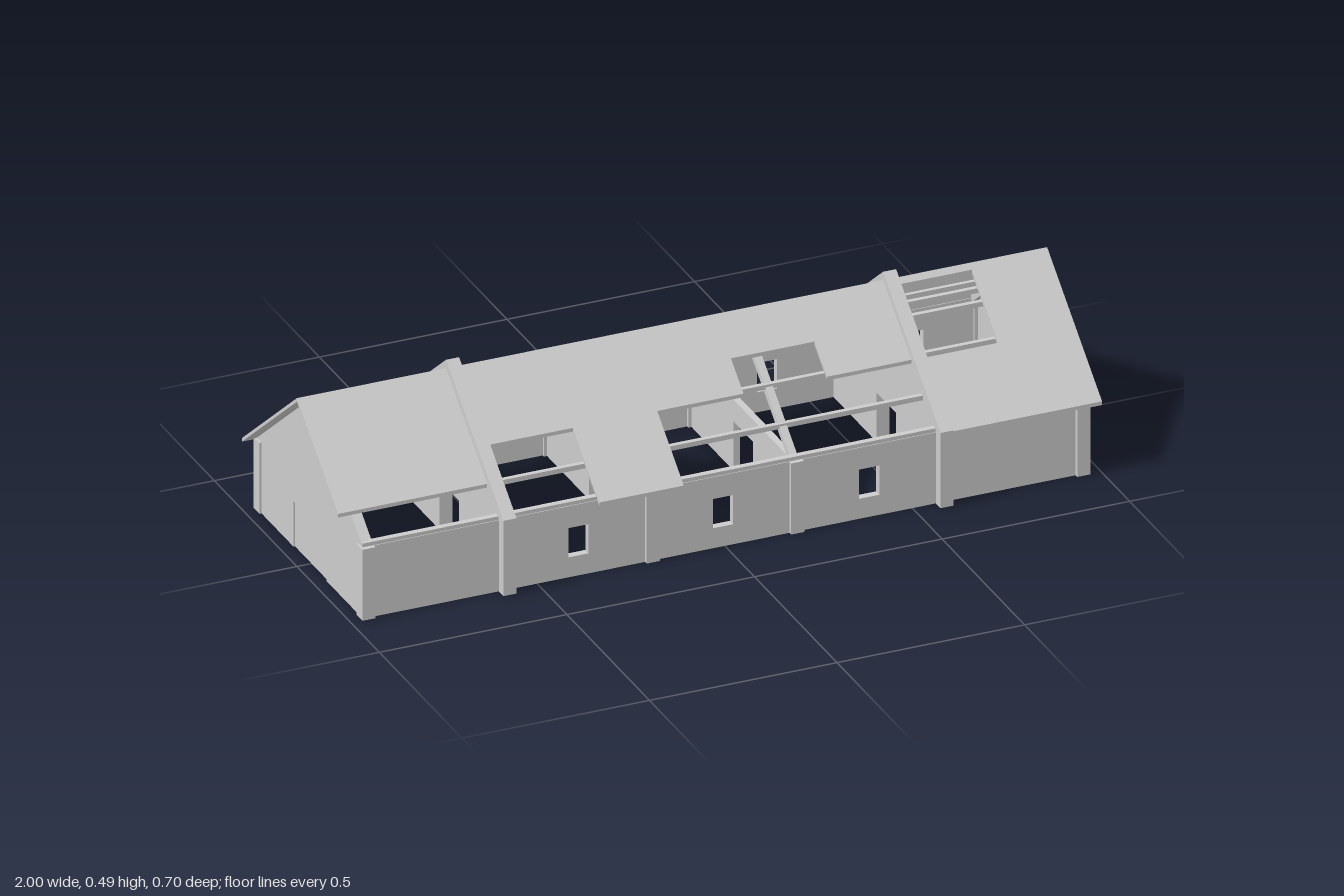
import * as THREE from 'three';

const RIDGE = 0.462, SLOPE = 0.8, ROOF_T = 0.01, WALL_H = 0.195;
const mat = new THREE.MeshStandardMaterial({ color: 0xcccccc, flatShading: true });

function polygon(points) {
  return new THREE.Shape(points.map(([a, b]) => new THREE.Vector2(a, b)));
}
function rect(a0, a1, b0, b1) {
  return [[a0, b0], [a1, b0], [a1, b1], [a0, b1]];
}
function extrude(outline, holes, depth) {
  const shape = polygon(outline);
  holes.forEach((h) => shape.holes.push(polygon(h)));
  return new THREE.ExtrudeGeometry(shape, { depth, bevelEnabled: false });
}

export function createModel() {
  const root = new THREE.Group();
  const add = (name, geometry, parent = root) => {
    const mesh = new THREE.Mesh(geometry, mat);
    mesh.name = name;
    parent.add(mesh);
    return mesh;
  };
  const box = (name, x0, x1, y0, y1, z0, z1) => {
    const g = new THREE.BoxGeometry(x1 - x0, y1 - y0, z1 - z0);
    add(name, g.translate((x0 + x1) / 2, (y0 + y1) / 2, (z0 + z1) / 2));
  };
  // Profile given as [z, y], extruded along x and centred on the given x
  const crossSlab = (name, x, thickness, outline, holes = []) => {
    const g = extrude(outline, holes, thickness);
    add(name, g.rotateY(-Math.PI / 2).translate(x + thickness / 2, 0, 0));
  };

  // Long walls with window openings
  const windowAt = (x) => rect(x - 0.027, x + 0.027, 0.055, 0.135);
  const longWall = (name, z, xs) =>
    add(name, extrude(rect(-0.965, 0.965, 0, WALL_H), xs.map(windowAt), 0.02).translate(0, 0, z - 0.01));
  longWall('frontWall', 0.31, [-0.39, -0.005, 0.385]);
  longWall('backWall', -0.31, [-0.775, -0.39, -0.005, 0.385, 0.775]);

  // Gable ends: a doorway on the left, a wide closed door on the right
  const gable = (half, apex, door) => {
    const eave = apex - half * SLOPE;
    const [a, b, h] = door;
    return [[-half, 0], [a, 0], [a, h], [b, h], [b, 0], [half, 0], [half, eave], [0, apex], [-half, eave]];
  };
  const underRoof = RIDGE - ROOF_T;
  crossSlab('leftGable', 0.955, 0.02, gable(0.315, underRoof, [0.16, 0.23, 0.135]));
  crossSlab('rightGable', -0.955, 0.02, gable(0.315, underRoof, [-0.1, 0.1, 0.125]));
  box('wideDoor', -0.961, -0.949, 0, 0.125, -0.1, 0.1);

  // Tall fire walls that rise through the roof
  for (const x of [-0.585, 0.58]) {
    crossSlab('fireWall', x, 0.035, gable(0.348, 0.485, [-0.04, 0.08, 0.135]));
  }
  // Low partitions between the middle bays
  for (const x of [-0.195, 0.19]) {
    crossSlab('partition', x, 0.018,
      [[-0.31, 0], [-0.04, 0], [-0.04, 0.135], [0.08, 0.135], [0.08, 0], [0.31, 0], [0.31, WALL_H], [-0.31, WALL_H]]);
  }

  // Buttresses, wall plates, purlins and rafters on both sides
  for (const s of [-1, 1]) {
    const zBox = (name, x0, x1, y0, y1, z, d) =>
      box(name, x0, x1, y0, y1, s * z - d / 2, s * z + d / 2);
    for (const x of [-0.953, -0.585, -0.195, 0.19, 0.58, 0.953]) {
      zBox('buttress', x - 0.0175, x + 0.0175, 0, WALL_H, 0.3115, 0.037);
    }
    zBox('wallPlate', -0.965, 0.965, WALL_H, WALL_H + 0.01, 0.31, 0.016);
    for (const z of [0.07, 0.15, 0.235]) {
      const y = underRoof - z * SLOPE;
      const start = z > 0.2 && s > 0 ? -0.585 : -0.95;
      zBox('purlin', start, 0.95, y - 0.018, y - 0.005, z, 0.013);
    }
    for (const x of [-0.945, -0.195, 0.19, 0.94]) {
      const top = underRoof - 0.006, low = top - 0.31 * SLOPE;
      const profile = [[0, top], [0, top - 0.022], [s * 0.31, low - 0.022], [s * 0.31, low]];
      crossSlab('rafter', x, 0.02, s > 0 ? profile : profile.reverse());
    }
  }
  box('ridgeBeam', -0.95, 0.95, underRoof - 0.024, underRoof - 0.006, -0.007, 0.007);

  // Broken roof slopes: each step is [x start, x end, eave distance from ridge]
  const roof = (name, steps, hole, s) => {
    const eaves = steps.flatMap(([a, b, d]) => [[a, d], [b, d]]);
    const flip = (pts) => pts.map(([x, d]) => [x * s, d]);
    const g = extrude(flip([[1, 0], [-1, 0], ...eaves]), [flip(hole)], ROOF_T);
    const p = g.attributes.position;
    for (let i = 0; i < p.count; i++) {
      const d = p.getY(i);
      p.setXYZ(i, p.getX(i), RIDGE - SLOPE * d - p.getZ(i), d);
    }
    g.computeVertexNormals();
    const mesh = add(name, g);
    if (s < 0) mesh.rotation.y = Math.PI;
  };
  roof('frontRoof', [
    [-1, -0.585, 0.25], [-0.585, -0.34, 0.172], [-0.34, -0.115, 0.333], [-0.115, 0.115, 0.172],
    [0.115, 0.338, 0.096], [0.338, 0.58, 0.172], [0.58, 1, 0.333],
  ], rect(0.59, 0.793, 0.015, 0.173), 1);
  roof('backRoof', [
    [-1, -0.585, 0.333], [-0.585, -0.34, 0.257], [-0.34, -0.115, 0.1], [-0.115, 0.115, 0.178],
    [0.115, 0.338, 0.257], [0.338, 0.58, 0.178], [0.58, 0.793, 0.257], [0.793, 1, 0.333],
  ], rect(-0.797, -0.59, 0.1, 0.257), -1);

  return root;
}
